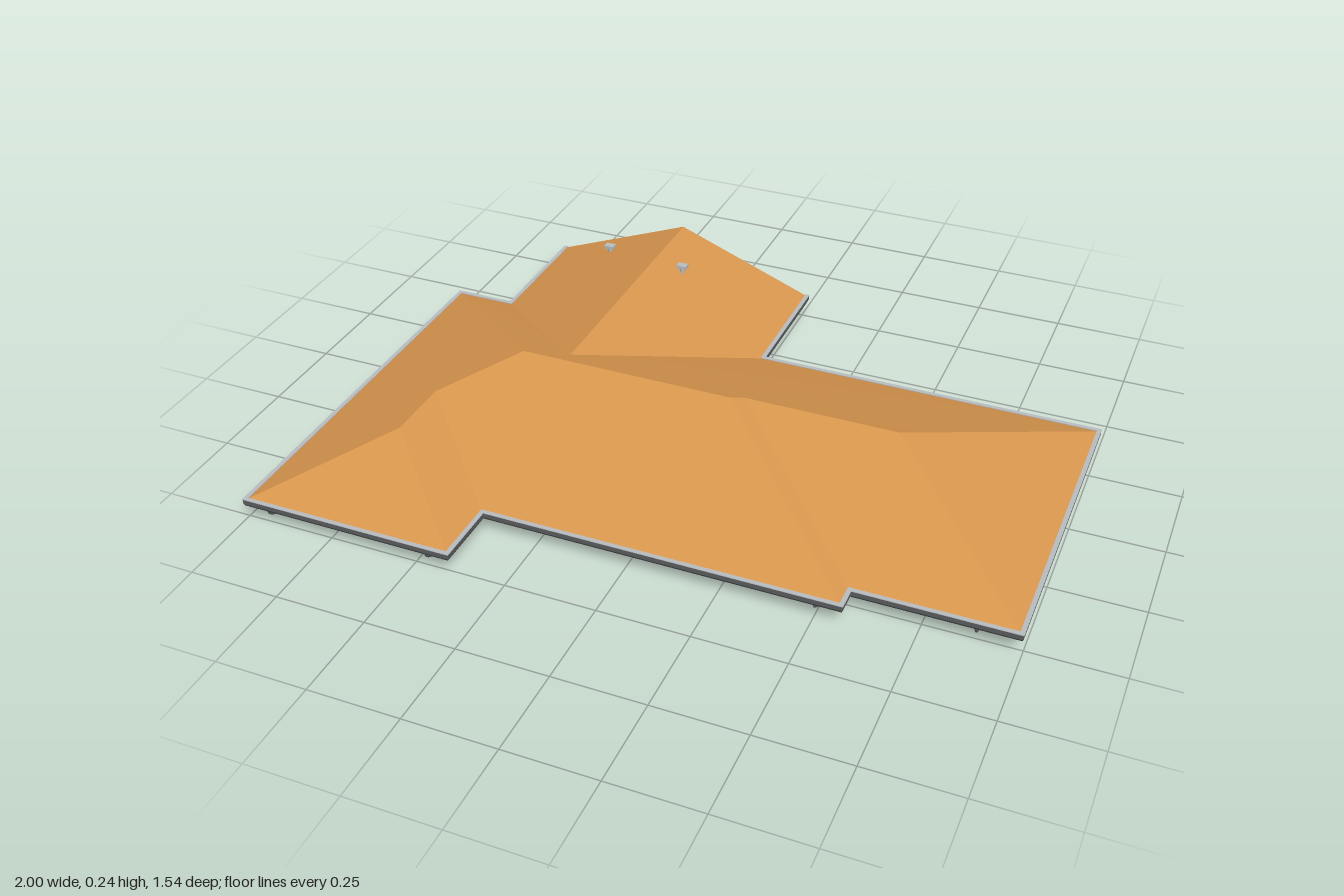
import * as THREE from 'three';

const EAVE = 0.061, SLOPE = 0.385;

function mat(name, color, side = THREE.FrontSide) {
  const m = new THREE.MeshStandardMaterial({ color, side });
  m.name = name;
  return m;
}

export function createModel() {
  const M = {
    roof: mat('roof sheet', 0xd8964e, THREE.DoubleSide),
    timber: mat('timber wall', 0xd98c40),
    grey: mat('grey lining', 0x7c7c7c),
    dark: mat('dark trim', 0x383838),
    gutter: mat('gutter', 0x5a5d60),
    metal: mat('pale metal', 0xb8bcc0, THREE.DoubleSide),
    cream: mat('cream wall', 0xe6e3cc),
    red: mat('red wall', 0xb42a2a),
    white: mat('white ceiling and window', 0xe4e5e6),
    brown: mat('fan brown', 0x8a5a30),
  };
  const house = new THREE.Group();
  house.name = 'house';

  function add(geo, m, name, x = 0, y = 0, z = 0, parent = house) {
    const mesh = new THREE.Mesh(geo, m);
    mesh.name = name;
    mesh.position.set(x, y, z);
    parent.add(mesh);
    return mesh;
  }
  // box from minimum and maximum corners
  function box(name, m, x0, x1, y0, y1, z0, z1) {
    return add(new THREE.BoxGeometry(x1 - x0, y1 - y0, z1 - z0), m, name,
      (x0 + x1) / 2, (y0 + y1) / 2, (z0 + z1) / 2);
  }
  // axis-aligned upright panel between two plan points
  function wall(name, m, x0, z0, x1, z1, y0 = 0, y1 = 0.047, t = 0.006) {
    return box(name, m, Math.min(x0, x1) - t, Math.max(x0, x1) + t, y0, y1,
      Math.min(z0, z1) - t, Math.max(z0, z1) + t);
  }
  function path(name, m, pts, y0, y1, t) {
    for (let i = 0; i + 1 < pts.length; i++) wall(name, m, ...pts[i], ...pts[i + 1], y0, y1, t);
  }

  // ---- roof: plan polygons of [x, z, distance in from the eave]
  const mL = [-0.515, 0.1, 0.475], mR = [0.095, 0.1, 0.475];
  const rL = [0.125, 0.07, 0.445], rR = [0.55, 0.07, 0.445];
  const wB = [-0.6975, 0.28, 0.2975], wF = [-0.6975, 0.465, 0.2975];
  const gI = [-0.405, 0.037, 0.415], gE = [-0.405, -0.765, 0.415];
  const faces = {
    backSlope: [[-0.995, -0.38], mL, mR, rL, rR, [0.995, -0.38], [0.01, -0.38], gI, [-0.82, -0.38]],
    leftSlope: [[-0.995, -0.38], [-0.995, 0.762], wF, wB, mL],
    wingFrontHip: [[-0.995, 0.762], [-0.4, 0.762], wF],
    wingInnerSlope: [[-0.4, 0.762], [-0.4, 0.578], wB, wF],
    mainFrontSlope: [[-0.4, 0.578], [0.57, 0.578], mR, mL, wB],
    mainHip: [[0.57, 0.578], [0.57, 0.515], rL, mR],
    garageFrontSlope: [[0.57, 0.515], [0.995, 0.515], rR, rL],
    garageHip: [[0.995, 0.515], [0.995, -0.38], rR],
    gableOuterSlope: [[-0.82, -0.38], [-0.82, -0.765], gE, gI],
    gableInnerSlope: [[0.01, -0.765], [0.01, -0.38], gI, gE],
  };
  for (const [name, pts] of Object.entries(faces)) {
    // plan is taken as (x, -z) so counter-clockwise faces point up
    const flat = list => list.map(q => new THREE.Vector2(q[0], -q[1]));
    const p = THREE.ShapeUtils.area(flat(pts)) < 0 ? [...pts].reverse() : pts;
    const geo = new THREE.BufferGeometry();
    geo.setAttribute('position', new THREE.Float32BufferAttribute(
      p.flatMap(q => [q[0], EAVE + SLOPE * (q[2] || 0), q[1]]), 3));
    geo.setIndex(THREE.ShapeUtils.triangulateShape(flat(p), []).flat());
    geo.computeVertexNormals();
    add(geo, M.roof, name);
  }

  // ---- eaves: gutter and fascia on every edge but the gable end
  const outline = [[0.01, -0.762], [0.01, -0.38], [0.995, -0.38], [0.995, 0.515], [0.57, 0.515], [0.57, 0.578],
    [-0.4, 0.578], [-0.4, 0.762], [-0.995, 0.762], [-0.995, -0.38], [-0.82, -0.38], [-0.82, -0.762]];
  path('gutter', M.gutter, outline, 0.05, 0.064, 0.005);
  path('gutterLip', M.metal, outline, 0.0635, 0.0655, 0.006);
  path('fascia', M.dark, outline, 0.045, 0.05, 0.003);

  // soffit lining, stopping short of the gable overhang
  const plan = new THREE.Shape(outline.map(([x, z]) => new THREE.Vector2(x, Math.max(z, -0.73))));
  add(new THREE.ShapeGeometry(plan), M.metal, 'soffit', 0, 0.049, 0).rotation.x = Math.PI / 2;

  // ---- gable end
  const gable = new THREE.Shape([[-0.81, 0.049], [0, 0.049], [-0.405, 0.21]].map(p => new THREE.Vector2(...p)));
  add(new THREE.ShapeGeometry(gable), M.metal, 'gableWall', 0, 0, -0.73);
  for (const s of [-1, 1]) {
    const board = add(new THREE.BoxGeometry(0.415 * Math.hypot(1, SLOPE), 0.012, 0.038), M.grey, 'bargeBoard',
      -0.405 + s * 0.2075, EAVE + SLOPE * 0.2075 - 0.008, -0.746);
    board.rotation.z = -s * Math.atan(SLOPE);
  }
  add(new THREE.CylinderGeometry(0.018, 0.018, 0.006, 16), M.gutter, 'gableVent', -0.405, 0.15, -0.733)
    .rotation.x = Math.PI / 2;

  // ---- roof vents
  for (const [x, z, y] of [[-0.615, -0.67, 0.138], [-0.32, -0.555, 0.19]]) {
    add(new THREE.CylinderGeometry(0.007, 0.007, 0.03, 10), M.metal, 'ventPipe', x, y + 0.005, z);
    add(new THREE.BoxGeometry(0.03, 0.01, 0.022), M.metal, 'ventCap', x, y + 0.018, z);
  }

  // ---- outer walls
  path('outerWall', M.timber, [[0.47, 0.5], [-0.46, 0.5], [-0.46, 0.7], [-0.93, 0.7], [-0.93, -0.31],
    [-0.75, -0.31], [-0.75, -0.72], [-0.06, -0.72], [-0.06, -0.55]]);
  path('outerWall', M.grey, [[-0.06, -0.55], [-0.06, -0.31]], 0.004);
  path('outerWall', M.timber, [[-0.06, -0.31], [0.47, -0.31], [0.47, 0.5]]);
  // open garage: side beam, posts and a low front rail
  wall('garageBeam', M.grey, 0.88, 0.43, 0.88, -0.31, 0.022, 0.047);
  wall('garagePanel', M.cream, 0.88, -0.31, 0.88, -0.17, 0.004, 0.022);
  for (const [x, z] of [[0.88, 0.45], [0.88, 0.14], [0.88, -0.31]]) wall('post', M.gutter, x, z, x, z);
  wall('garageRail', M.metal, 0.65, 0.45, 0.87, 0.45, 0.012, 0.017, 0.003);
  for (let i = 0; i < 11; i++) {
    const z = 0.4 - i * 0.05;
    box('garageSlot', M.dark, 0.476, 0.479, 0.004, 0.021, z - 0.01, z + 0.01);
  }

  // ---- white room ceilings
  box('mainCeiling', M.white, -0.27, 0.465, 0.0455, 0.0485, -0.305, 0.495);
  box('frontRoomCeiling', M.white, -0.6, -0.27, 0.0455, 0.0485, 0.13, 0.495);
  box('bedroomCeiling', M.white, -0.745, -0.065, 0.0455, 0.0485, -0.715, -0.31);

  // ---- grey ceilings, with the side verandah's hung low
  box('garageCeiling', M.grey, 0.49, 0.87, 0.044, 0.047, -0.3, 0.44);
  box('sideCeiling', M.grey, -0.924, -0.6, 0.014, 0.017, -0.304, 0.694);
  box('frontCeiling', M.grey, -0.6, -0.466, 0.014, 0.017, 0.506, 0.694);
  box('hallCeiling', M.grey, -0.6, -0.27, 0.044, 0.047, -0.28, 0.08);
  for (let i = 1; i < 8; i++) {
    const z = -0.3 + i * 0.0925;
    box('garageRib', M.dark, 0.495, 0.865, 0.042, 0.044, z - 0.002, z + 0.002);
  }
  box('garageRidgeRib', M.dark, 0.678, 0.682, 0.042, 0.044, -0.3, 0.44);

  // ---- inner partitions
  path('redRoom', M.red, [[0.05, -0.28], [-0.24, -0.28], [-0.24, 0.08], [0.42, 0.08], [0.42, -0.02]], 0.004);
  path('kitchenWall', M.timber, [[0.42, -0.02], [0.42, -0.28], [0.05, -0.28]], 0.004);
  path('loungeWall', M.timber, [[0.42, 0.1], [0.2, 0.1]]);
  path('creamRoom', M.cream, [[-0.09, 0.48], [-0.09, 0.13], [-0.6, 0.13], [-0.6, 0.3]], 0.004);
  path('creamRoom', M.cream, [[-0.6, 0.5], [-0.48, 0.5]], 0.004);
  path('hallWall', M.cream, [[-0.6, 0.08], [-0.6, -0.28], [-0.42, -0.28]], 0.004);
  path('hallWall', M.cream, [[-0.27, 0.08], [-0.27, -0.15], [-0.4, -0.15]], 0.004);
  path('bedroomWall', M.timber, [[-0.06, -0.31], [-0.6, -0.31], [-0.6, -0.6]]);
  wall('bedroomWall', M.cream, -0.73, -0.45, -0.62, -0.45, 0.004);

  // ---- windows and grey wall panels
  for (const [x, z, w] of [[-0.81, 0.7, 0.04], [-0.585, 0.7, 0.03], [-0.44, 0.5, 0.04], [-0.22, 0.5, 0.03],
    [0.05, 0.5, 0.06], [0.1, 0.5, 0.025], [0.39, 0.5, 0.03]])
    box('frontWindow', M.white, x - w / 2, x + w / 2, 0.008, 0.034, z + 0.006, z + 0.013);
  for (const [x0, x1, z] of [[-0.41, -0.235, 0.5], [-0.07, 0.02, 0.5], [0.12, 0.37, 0.5],
    [-0.79, -0.69, 0.7], [-0.565, -0.47, 0.7]])
    box('frontPanel', M.grey, x0, x1, 0.004, 0.046, z + 0.006, z + 0.01);
  for (const [x0, x1, z] of [[-0.5, -0.3, -0.72], [0.08, 0.22, -0.31], [0.3, 0.4, -0.31]])
    box('backWindow', M.gutter, x0, x1, 0.008, 0.04, z - 0.012, z - 0.006);
  box('wallLamp', M.gutter, -0.14, -0.125, 0.025, 0.037, -0.75, -0.726);

  // ---- curved downpipes from gutter to wall foot
  for (const [x, z, s] of [[-0.93, 0.76, -1], [-0.465, 0.76, -1], [0.5, 0.575, -1], [0.885, 0.515, -1],
    [0.885, -0.375, 1], [-0.93, -0.375, 1]]) {
    const curve = new THREE.CatmullRomCurve3([[0, 0.05], [0.005, 0.032], [0.035, 0.013], [0.06, 0.004]]
      .map(([d, y]) => new THREE.Vector3(x, y, z + s * d)));
    add(new THREE.TubeGeometry(curve, 12, 0.003, 6), M.gutter, 'downpipe');
  }

  // ---- ceiling fans
  for (const [x, z] of [[-0.34, 0.33], [0.16, 0.3], [0.29, -0.1], [-0.05, -0.1], [-0.28, -0.52]]) {
    const fan = new THREE.Group();
    fan.name = 'ceilingFan';
    fan.position.set(x, 0.034, z);
    add(new THREE.CylinderGeometry(0.01, 0.01, 0.024, 10), M.brown, 'fanHub', 0, 0, 0, fan);
    for (let i = 0; i < 2; i++) {
      add(new THREE.BoxGeometry(0.12, 0.003, 0.013), M.brown, 'fanBlades', 0, -0.006, 0, fan)
        .rotation.y = i * Math.PI / 2 + 0.1;
    }
    house.add(fan);
  }
  return house;
}
